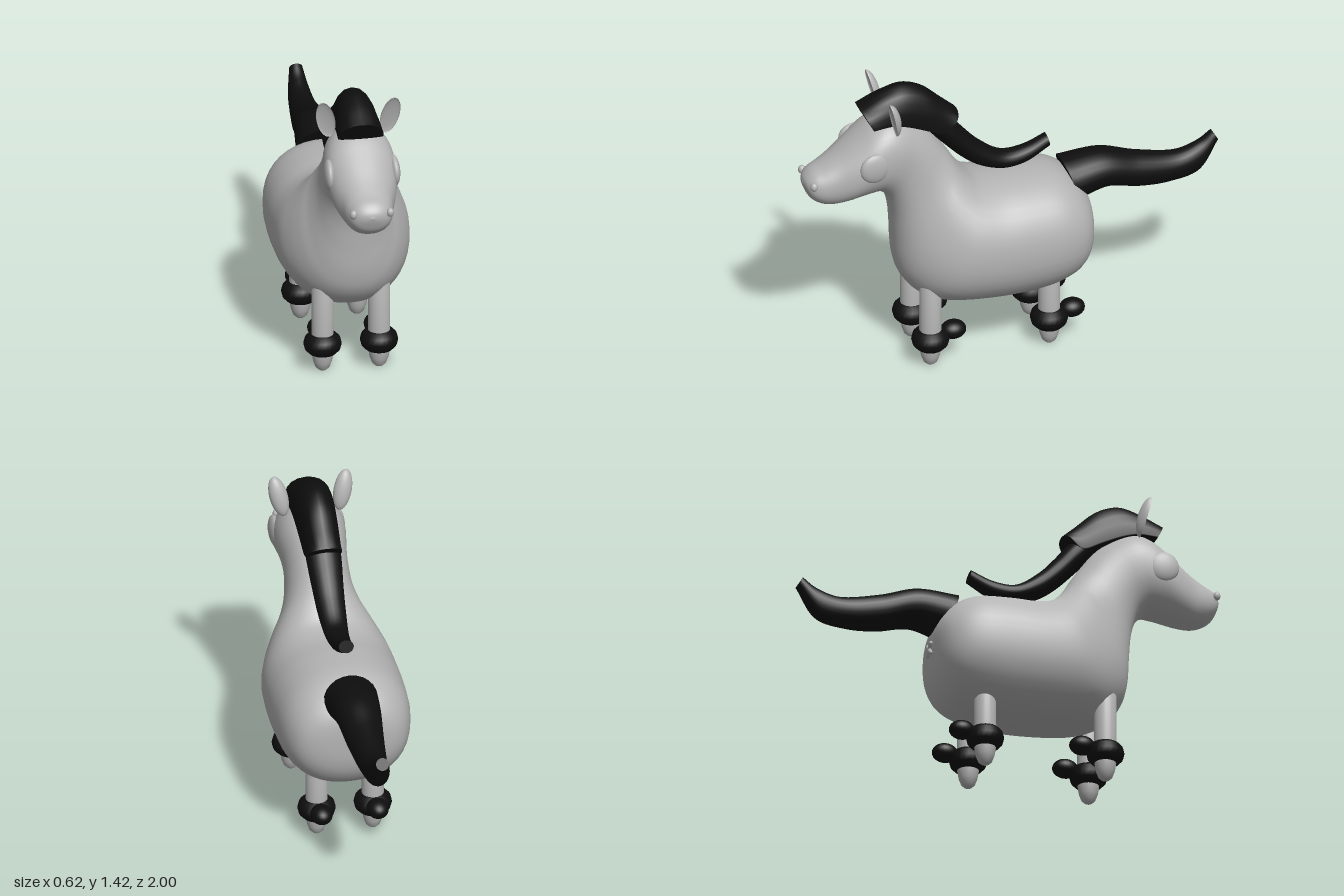
import * as THREE from 'three';

const grey = new THREE.MeshStandardMaterial({ color: 0xb4b4b4 });
grey.name = 'grey coat';
const black = new THREE.MeshStandardMaterial({ color: 0x0e0e0e });
black.name = 'black hair';

// Lofts rings along the side profile, listed from rear to front.
// Each section is [topZ, topY, bottomZ, bottomY, halfWidth].
function loft(sections, { steps = 60, sides = 32, power = 2, domed = false } = {}) {
  const curve = (f) => new THREE.CatmullRomCurve3(sections.map(f), false, 'catmullrom');
  const top = curve((s) => new THREE.Vector3(s[4], s[1], s[0]));
  const bottom = curve((s) => new THREE.Vector3(s[4], s[3], s[2]));
  const bend = (v) => Math.sign(v) * Math.abs(v) ** (2 / power);
  const pos = [], index = [];
  for (let i = 0; i <= steps; i++) {
    const t = top.getPoint(i / steps), b = bottom.getPoint(i / steps);
    for (let j = 0; j < sides; j++) {
      const a = (j / sides) * Math.PI * 2;
      const c = bend(Math.cos(a));
      const h = domed ? (c > 0 ? c : c * 0.1) : (c + 1) / 2;
      pos.push(t.x * bend(Math.sin(a)), b.y + (t.y - b.y) * h, b.z + (t.z - b.z) * h);
    }
  }
  for (let i = 0; i < steps; i++) {
    for (let j = 0; j < sides; j++) {
      const k = (j + 1) % sides, p = i * sides, q = p + sides;
      index.push(p + j, q + j, p + k, p + k, q + j, q + k);
    }
  }
  // Flat end caps with their own vertices
  for (const end of [0, 1]) {
    const from = end * steps * sides, start = pos.length / 3;
    const mid = [0, 0, 0];
    for (let j = 0; j < sides; j++) {
      for (let d = 0; d < 3; d++) {
        const v = pos[(from + j) * 3 + d];
        pos.push(v);
        mid[d] += v / sides;
      }
    }
    pos.push(...mid);
    for (let j = 0; j < sides; j++) {
      const k = (j + 1) % sides;
      index.push(start + sides, start + (end ? k : j), start + (end ? j : k));
    }
  }
  const g = new THREE.BufferGeometry();
  g.setAttribute('position', new THREE.Float32BufferAttribute(pos, 3));
  g.setIndex(index);
  g.computeVertexNormals();
  return g;
}

function add(parent, name, geometry, material, position = [0, 0, 0], scale = [1, 1, 1], rotation = [0, 0, 0]) {
  const m = new THREE.Mesh(geometry, material);
  m.name = name;
  m.position.set(...position);
  m.scale.set(...scale);
  m.rotation.set(...rotation);
  parent.add(m);
  return m;
}

// Ellipsoid with its front pressed in to a shallow bowl
function earGeometry() {
  const g = new THREE.SphereGeometry(1, 24, 16);
  const p = g.attributes.position;
  for (let i = 0; i < p.count; i++) if (p.getZ(i) > 0) p.setZ(i, -0.3 * p.getZ(i));
  g.computeVertexNormals();
  return g;
}

export function createModel() {
  const model = new THREE.Group();
  model.name = 'pony';
  const ball = new THREE.SphereGeometry(1, 24, 16);

  // Torso, neck and head in one skin
  add(model, 'body', loft([
    [-0.36, 0.62, -0.36, 0.58, 0.02],
    [-0.35, 0.7, -0.35, 0.47, 0.14],
    [-0.32, 0.76, -0.32, 0.39, 0.22],
    [-0.26, 0.82, -0.26, 0.325, 0.27],
    [-0.17, 0.86, -0.15, 0.285, 0.3],
    [-0.02, 0.87, 0, 0.27, 0.31],
    [0.1, 0.87, 0.18, 0.275, 0.31],
    [0.18, 0.89, 0.35, 0.295, 0.3],
    [0.23, 0.93, 0.46, 0.34, 0.27],
    [0.27, 0.98, 0.53, 0.42, 0.23],
    [0.3, 1.03, 0.56, 0.52, 0.19],
    [0.34, 1.09, 0.57, 0.65, 0.16],
    [0.39, 1.16, 0.58, 0.77, 0.147],
    [0.45, 1.22, 0.605, 0.86, 0.147],
    [0.53, 1.27, 0.65, 0.905, 0.158],
    [0.6, 1.285, 0.71, 0.905, 0.163],
    [0.67, 1.26, 0.77, 0.895, 0.16],
    [0.75, 1.2, 0.82, 0.885, 0.145],
    [0.84, 1.13, 0.88, 0.88, 0.12],
    [0.91, 1.085, 0.93, 0.895, 0.105],
    [0.96, 1.06, 0.97, 0.925, 0.085],
    [0.99, 1.03, 0.99, 0.965, 0.05],
    [1, 1.002, 1, 0.998, 0.004],
  ], { steps: 110, sides: 40, power: 2.2 }), grey);

  // Mane, forelock and tail
  add(model, 'mane', loft([
    [-0.17, 1.02, -0.185, 0.96, 0.035],
    [-0.07, 0.98, -0.07, 0.9, 0.045],
    [0.04, 0.975, 0.04, 0.89, 0.055],
    [0.145, 1.045, 0.15, 0.925, 0.065],
    [0.225, 1.13, 0.235, 0.985, 0.072],
    [0.295, 1.215, 0.32, 1.07, 0.08],
    [0.4, 1.31, 0.42, 1.18, 0.085],
  ], { steps: 36, sides: 20 }), black);
  add(model, 'forelock', loft([
    [0.26, 1.245, 0.295, 1.2, 0.08],
    [0.33, 1.31, 0.345, 1.17, 0.085],
    [0.42, 1.39, 0.43, 1.21, 0.09],
    [0.52, 1.425, 0.52, 1.25, 0.095],
    [0.62, 1.4, 0.6, 1.27, 0.1],
    [0.73, 1.345, 0.69, 1.265, 0.105],
  ], { steps: 30, sides: 20, power: 2.2, domed: true }), black);
  add(model, 'tail', loft([
    [-0.965, 0.875, -0.995, 0.825, 0.03],
    [-0.9, 0.83, -0.9, 0.685, 0.05],
    [-0.79, 0.8, -0.75, 0.655, 0.065],
    [-0.605, 0.835, -0.605, 0.665, 0.085],
    [-0.435, 0.885, -0.45, 0.7, 0.105],
    [-0.24, 0.875, -0.31, 0.665, 0.125],
  ], { steps: 36, sides: 24 }), black);

  // Paired face details
  const ear = earGeometry();
  for (const s of [1, -1]) {
    const side = s > 0 ? 'left' : 'right';
    add(model, side + 'Ear', ear, grey, [s * 0.148, 1.33, 0.615], [0.042, 0.098, 0.036], [0.22, 0, -s * 0.22]);
    add(model, side + 'Eye', ball, grey, [s * 0.148, 1.095, 0.7], [0.027, 0.073, 0.073], [0, s * 0.06, 0]);
    add(model, side + 'Nostril', ball, grey, [s * 0.084, 1.015, 0.972], [0.017, 0.021, 0.017]);
  }

  // Legs with rounded hooves and shaggy fetlocks
  const legShape = new THREE.LatheGeometry(
    [[0, 0], [0.018, 0.002], [0.032, 0.015], [0.043, 0.045], [0.05, 0.085], [0.051, 0.14], [0.05, 0.42], [0, 0.42]]
      .map((p) => new THREE.Vector2(...p)), 24);
  const cuff = new THREE.TorusGeometry(0.037, 0.05, 12, 24);
  for (const z of [0.43, -0.14]) {
    for (const x of [0.13, -0.13]) {
      const leg = new THREE.Group();
      leg.name = (z > 0 ? 'front' : 'back') + (x > 0 ? 'Left' : 'Right') + 'Leg';
      leg.position.set(x, 0, z);
      add(leg, 'shank', legShape, grey);
      add(leg, 'fetlock', cuff, black, [0, 0.132, 0], [1, 1, 1.05], [Math.PI / 2, 0, 0]);
      add(leg, 'fetlockTuft', ball, black, [0, 0.158, -0.11], [0.05, 0.044, 0.06]);
      model.add(leg);
    }
  }

  // Small crossed mark under the tail
  const bar = new THREE.CapsuleGeometry(0.01, 0.065, 4, 10);
  for (const s of [1, -1]) {
    add(model, 'rumpCross', bar, grey, [0, 0.6, -0.363], [1, 1, 1], [0, 0, s * Math.PI / 4]);
  }
  return model;
}
